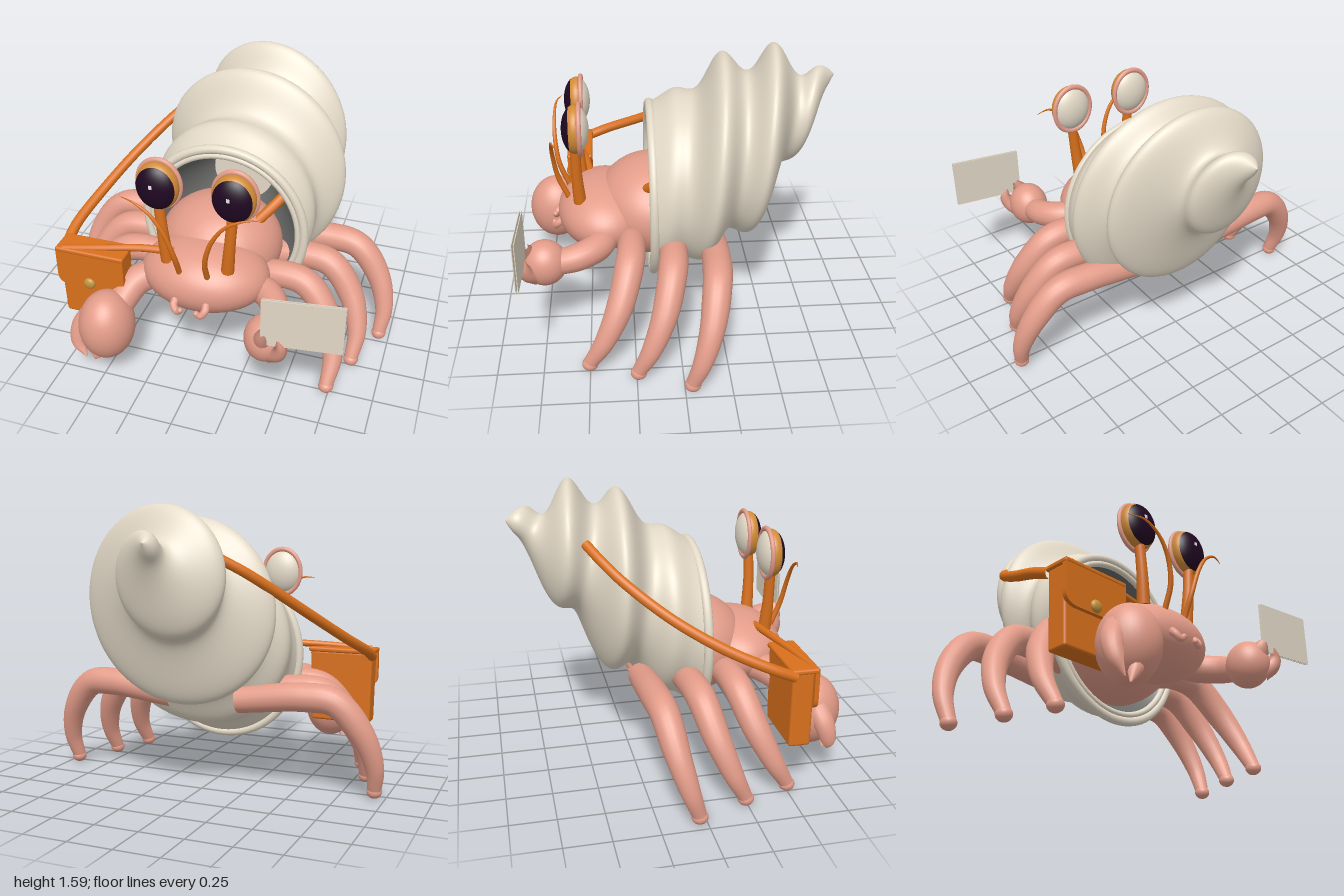
import * as THREE from 'three';
import { ParametricGeometry } from 'three/addons/geometries/ParametricGeometry.js';
import { RoundedBoxGeometry } from 'three/addons/geometries/RoundedBoxGeometry.js';

const mat = (name, color, side = THREE.FrontSide) => {
  const m = new THREE.MeshStandardMaterial({ color, side });
  m.name = name;
  return m;
};
const V = (p) => new THREE.Vector3(...p);

export function createModel() {
  const skin = mat('pink skin', 0xe39c89);
  const leather = mat('orange leather', 0xd9701c);
  const shellMat = mat('shell cream', 0xe3d9c7, THREE.DoubleSide);
  const cavityMat = mat('cavity grey', 0x6a6a69, THREE.DoubleSide);
  const pupilMat = mat('dark pupil', 0x200722);
  const irisMat = mat('amber iris', 0xd28c38);
  const brass = mat('brass', 0xc4943c);
  const white = mat('white glint', 0xffffff);

  const model = new THREE.Group();
  model.name = 'hermitCrab';

  const add = (name, geo, material, pos = [0, 0, 0], scale = [1, 1, 1], parent = model) => {
    const m = new THREE.Mesh(geo, material);
    m.name = name;
    m.position.set(...pos);
    m.scale.set(...scale);
    parent.add(m);
    return m;
  };
  const ball = (name, material, pos, radii) =>
    add(name, new THREE.SphereGeometry(1, 40, 28), material, pos, radii);

  // Tube along a smooth path whose radius runs evenly through the given list
  const limb = (name, material, pts, radii, sides = 16, seg = 36) => {
    const curve = new THREE.CatmullRomCurve3(pts.map(V));
    const geo = new THREE.TubeGeometry(curve, seg, 1, sides);
    const pos = geo.attributes.position, v = new THREE.Vector3();
    for (let i = 0; i < pos.count; i++) {
      const u = Math.floor(i / (sides + 1)) / seg;
      const f = u * (radii.length - 1), k = Math.min(Math.floor(f), radii.length - 2);
      const r = THREE.MathUtils.lerp(radii[k], radii[k + 1], f - k);
      const c = curve.getPointAt(u);
      v.fromBufferAttribute(pos, i).sub(c).multiplyScalar(r).add(c);
      pos.setXYZ(i, v.x, v.y, v.z);
    }
    return add(name, geo, material);
  };

  // Shell: oval sections climbing backwards, with one helical ridge.
  // Profile entries are z, mean radius, ridge height.
  const profile = new THREE.CatmullRomCurve3([
    [0.14, 0.49, 0], [0.05, 0.49, 0.008], [-0.1, 0.485, 0.04], [-0.26, 0.503, 0.064],
    [-0.4, 0.455, 0.072], [-0.55, 0.362, 0.075], [-0.7, 0.21, 0.065],
    [-0.8, 0.102, 0.033], [-0.86, 0.042, 0.01], [-0.89, 0.001, 0],
  ].map(V));
  const shellPoint = (u, t, target) => {
    const a = -u * Math.PI * 2;
    const { x: z, y: r0, z: ridge } = profile.getPoint(t);
    const s = (0.14 - z) / 1.03;
    const lean = Math.sin(Math.PI * s);
    const wide = 1 - 0.4 * (s - 0.35) ** 2;
    const r = Math.max(r0 + ridge * Math.cos(a - Math.PI / 2 + Math.PI * 2 * (z + 0.25) / 0.295), 0.001);
    target.set(0.02 + 0.08 * lean + wide * r * Math.cos(a), 0.735 + 0.665 * s - 0.028 * lean + r * Math.sin(a), z);
  };
  add('shell', new ParametricGeometry(shellPoint, 72, 120), shellMat);

  // Hollow inside the shell mouth, ending in a small back wall
  add('shellCavity', new ParametricGeometry((u, t, target) => {
    const a = u * Math.PI * 2, r = 0.455 - 0.265 * t;
    target.set(0.02 + 0.96 * r * Math.cos(a), 0.735 + 0.155 * t + r * Math.sin(a), 0.14 - 0.39 * t);
  }, 56, 12), cavityMat);
  add('cavityBack', new THREE.CircleGeometry(0.192, 40), shellMat, [0.02, 0.89, -0.25]);
  add('shellRim', new THREE.TorusGeometry(0.488, 0.026, 14, 72), shellMat, [0.02, 0.735, 0.13], [0.955, 1, 1]);
  add('innerRim', new THREE.TorusGeometry(0.452, 0.018, 12, 72), shellMat, [0.02, 0.735, 0.135], [0.955, 1, 1]);

  // Body
  ball('abdomen', skin, [0, 0.63, 0.12], [0.355, 0.285, 0.33]);
  ball('head', skin, [0, 0.6, 0.4], [0.362, 0.197, 0.27]);

  for (const s of [-1, 1]) {
    // Walking legs: foot x, foot z, knee z
    [[0.735, 0.5, 0.27], [0.825, 0.24, 0.045], [0.94, -0.04, -0.18]].forEach(([fx, fz, kz]) => {
      const stride = fz - kz;
      limb('walkingLeg', skin, [
        [s * 0.2, 0.52, kz - 0.02], [s * (fx - 0.36), 0.565, kz - 0.015], [s * (fx - 0.19), 0.545, kz],
        [s * (fx - 0.05), 0.38, kz + 0.25 * stride], [s * (fx + 0.01), 0.19, kz + 0.64 * stride],
        [s * fx, 0.045, fz],
      ], [0.072, 0.078, 0.08, 0.074, 0.058, 0.038], 18, 44);
      ball('foot', skin, [s * fx, 0.04, fz], [0.042, 0.038, 0.044]);
    });

    // Eye on its stalk
    limb('eyeStalk', leather, [[s * 0.17, 0.73, 0.535], [s * 0.185, 0.9, 0.545], [s * 0.205, 1.13, 0.545]],
      [0.036, 0.03, 0.028]);
    ball('stalkFoot', leather, [s * 0.17, 0.74, 0.535], [0.036, 0.02, 0.036]);
    const eye = new THREE.Group();
    eye.name = 'eye';
    eye.position.set(s * 0.206, 1.193, 0.54);
    model.add(eye);
    const band = (name, from, to, material) => add(name,
      new THREE.SphereGeometry(1, 40, 20, 0, Math.PI * 2, from, to - from).rotateX(Math.PI / 2),
      material, [0, 0, 0], [0.118, 0.135, 0.074], eye);
    band('pupil', 0, 1.12, pupilMat);
    band('iris', 1.12, 1.95, irisMat);
    band('eyeBack', 1.95, Math.PI, shellMat);
    add('eyelidRing', new THREE.TorusGeometry(0.118, 0.013, 12, 48), skin, [0, 0, -0.025], [1, 1.17, 1], eye);
    add('glint', new THREE.BoxGeometry(0.018, 0.02, 0.006), white, [-0.01, 0.027, 0.072], [1, 1, 1], eye);

    // Antenna and mouth feeler
    limb('antenna', leather, [[s * 0.078, 0.71, 0.6], [s * 0.085, 0.85, 0.655], [s * 0.13, 1.0, 0.675],
      [s * 0.2, 1.1, 0.675], [s * 0.29, 1.15, 0.665], [s * 0.38, 1.155, 0.635]],
    [0.016, 0.015, 0.013, 0.011, 0.007, 0.001], 10);
    limb('mouthFeeler', skin, [[s * 0.085, 0.575, 0.64], [s * 0.088, 0.545, 0.675], [s * 0.065, 0.52, 0.69],
      [s * 0.045, 0.535, 0.695]], [0.024, 0.022, 0.02, 0.016], 12, 16);
    ball('feelerTip', skin, [s * 0.045, 0.535, 0.695], [0.016, 0.016, 0.016]);
  }

  // Large right claw
  limb('rightArm', skin, [[-0.24, 0.56, 0.42], [-0.36, 0.54, 0.52], [-0.43, 0.44, 0.64]], [0.08, 0.085, 0.08]);
  ball('rightClaw', skin, [-0.475, 0.35, 0.715], [0.155, 0.205, 0.168]);
  limb('rightPincer', skin, [[-0.56, 0.4, 0.72], [-0.62, 0.31, 0.75], [-0.625, 0.22, 0.775], [-0.58, 0.14, 0.79]],
    [0.07, 0.06, 0.045, 0.004]);
  limb('rightPincer', skin, [[-0.48, 0.27, 0.76], [-0.51, 0.2, 0.785], [-0.535, 0.125, 0.78]], [0.06, 0.045, 0.004]);

  // Small left claw holding sheets of paper
  limb('leftArm', skin, [[0.22, 0.56, 0.38], [0.37, 0.555, 0.44], [0.44, 0.535, 0.55], [0.44, 0.5, 0.7]],
    [0.075, 0.08, 0.076, 0.068]);
  ball('leftClaw', skin, [0.44, 0.51, 0.73], [0.115, 0.13, 0.122]);
  limb('leftPincer', skin, [[0.48, 0.46, 0.78], [0.53, 0.5, 0.82], [0.545, 0.55, 0.835], [0.53, 0.6, 0.84]],
    [0.055, 0.045, 0.034, 0.008]);
  limb('leftPincer', skin, [[0.44, 0.52, 0.78], [0.45, 0.58, 0.81], [0.475, 0.635, 0.825]], [0.065, 0.05, 0.015]);
  for (const z of [0.831, 0.843]) {
    const sheet = new THREE.BoxGeometry(0.42, 0.285, 0.004);
    const p = sheet.attributes.position;
    for (let i = 0; i < p.count; i++) p.setY(i, p.getY(i) + 0.11 * p.getX(i));
    add('paperSheet', sheet, shellMat, [0.65, 0.72, z]);
  }

  // Satchel: pouch narrowing downwards, lid, front flap and button
  const pouch = new RoundedBoxGeometry(0.39, 0.43, 0.12, 3, 0.015);
  const pp = pouch.attributes.position;
  for (let i = 0; i < pp.count; i++) pp.setX(i, pp.getX(i) * (0.96 + 0.12 * pp.getY(i)));
  add('satchelPouch', pouch, leather, [-0.597, 0.503, 0.545]);
  add('satchelLid', new RoundedBoxGeometry(0.405, 0.03, 0.155, 3, 0.012), leather, [-0.598, 0.725, 0.553]);
  const flap = new THREE.Shape();
  flap.moveTo(-0.2, 0.12);
  flap.lineTo(-0.2, -0.05);
  flap.quadraticCurveTo(-0.2, -0.12, -0.12, -0.12);
  flap.lineTo(0.12, -0.12);
  flap.quadraticCurveTo(0.2, -0.12, 0.2, -0.05);
  flap.lineTo(0.2, 0.12);
  add('satchelFlap', new THREE.ExtrudeGeometry(flap, { depth: 0.025, bevelEnabled: false }), leather,
    [-0.598, 0.615, 0.603]);
  add('satchelButton', new THREE.SphereGeometry(1, 24, 16), brass, [-0.605, 0.535, 0.63], [0.034, 0.034, 0.02]);

  // Strap: over the shell, across the head, and into the shell mouth
  limb('strapOuter', leather, [[-0.785, 0.7, 0.5], [-0.78, 0.75, 0.38], [-0.715, 0.85, 0.15],
    [-0.6, 0.99, -0.1], [-0.44, 1.15, -0.32], [-0.33, 1.24, -0.42], [-0.22, 1.31, -0.49]], [0.03, 0.027], 12, 48);
  limb('strapFront', leather, [[-0.76, 0.73, 0.61], [-0.55, 0.745, 0.565], [-0.33, 0.755, 0.51], [-0.15, 0.75, 0.48]],
    [0.018, 0.022], 12);
  limb('strapInner', leather, [[0.2, 0.8, 0.18], [0.29, 0.89, 0.1], [0.37, 0.97, 0.0]], [0.03, 0.03], 12, 16);

  return model;
}
